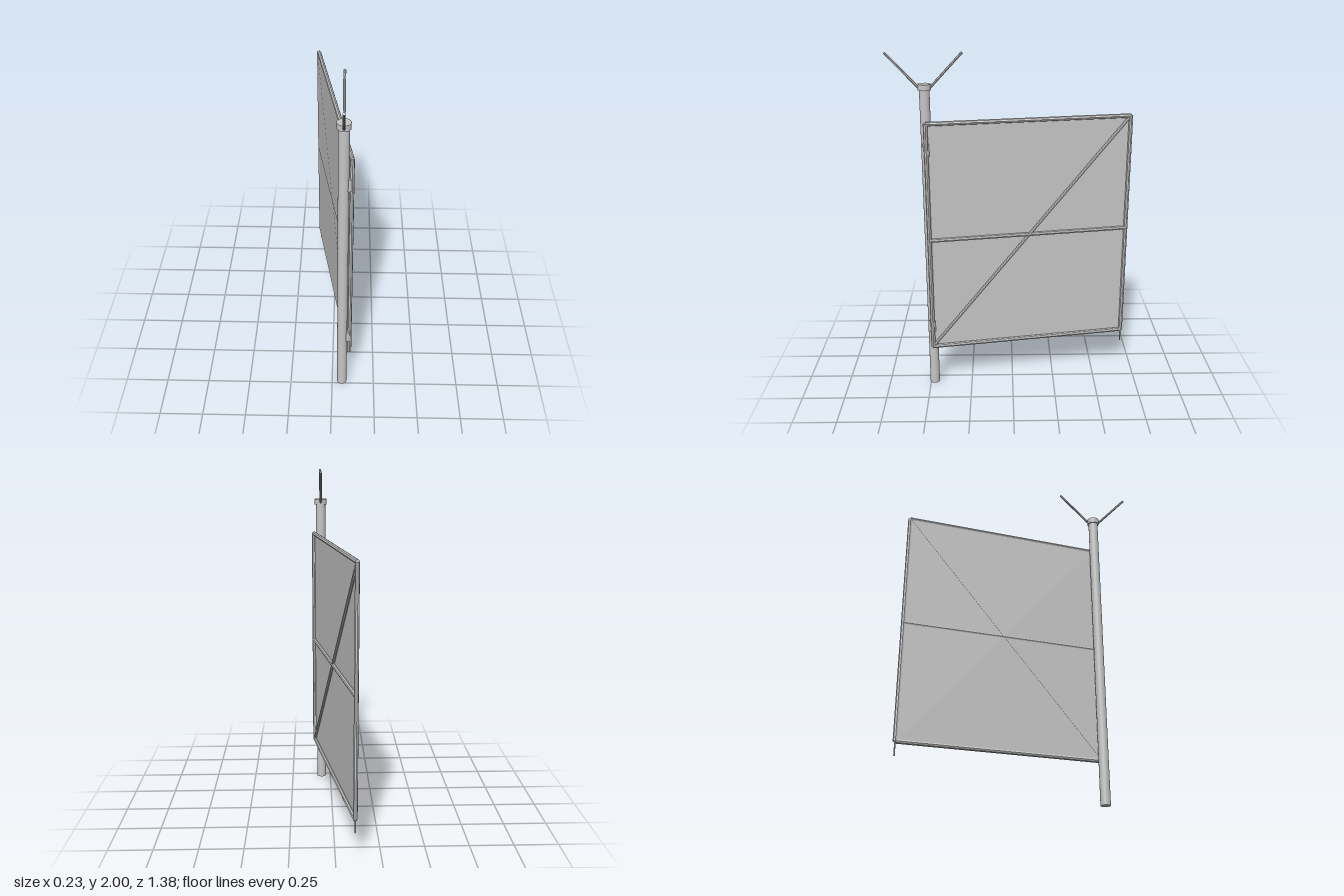
import * as THREE from 'three';

export function createModel() {
  const model = new THREE.Group();
  const steel = new THREE.MeshStandardMaterial({ color: 0xc5c5c5 });
  steel.name = 'galvanised steel';

  const add = (parent, name, geometry) => {
    const mesh = new THREE.Mesh(geometry, steel);
    mesh.name = name;
    parent.add(mesh);
    return mesh;
  };

  // Bar between two points: smooth when round, faceted when it has eight sides or fewer
  const bar = (parent, name, from, to, radius, sides = 8) => {
    const a = new THREE.Vector3(...from), b = new THREE.Vector3(...to);
    const dir = b.clone().sub(a);
    let geometry = new THREE.CylinderGeometry(radius, radius, dir.length(), sides);
    if (sides <= 8) {
      geometry = geometry.toNonIndexed();
      geometry.computeVertexNormals();
    }
    const mesh = add(parent, name, geometry);
    mesh.position.copy(a).add(b).multiplyScalar(0.5);
    mesh.quaternion.setFromUnitVectors(new THREE.Vector3(0, 1, 0), dir.normalize());
  };

  // Post with cap and V-shaped top arms
  const px = 0.058, pz = 0.477;
  bar(model, 'post', [px, 0, pz], [px, 1.81, pz], 0.0285, 24);
  bar(model, 'postCap', [px, 1.795, pz], [px, 1.828, pz], 0.036, 24);
  for (const side of [-1, 1]) {
    bar(model, side > 0 ? 'frontArm' : 'backArm',
      [px, 1.78, pz + side * 0.005], [px, 1.995, pz + side * 0.207], 0.007);
  }

  // Hinge barrels between post and gate
  for (const y of [0.392, 1.468]) {
    bar(model, 'hinge', [0.088, y - 0.0365, 0.476], [0.088, y + 0.0365, 0.476], 0.018, 12);
  }

  // Gate leaf: built along -z from the hinge line, swung open 10 degrees
  const gate = new THREE.Group();
  gate.name = 'gate';
  gate.position.set(0.1, 0, 0.476);
  gate.rotation.y = THREE.MathUtils.degToRad(10);
  model.add(gate);

  const length = 1.17, low = 0.26, high = 1.617, r = 0.0125;
  bar(gate, 'hingeStile', [0, low, 0], [0, high, 0], r);
  bar(gate, 'latchStile', [0, low, -length], [0, high, -length], r);
  bar(gate, 'bottomRail', [0, low, 0], [0, low, -length], r);
  bar(gate, 'topRail', [0, high, 0], [0, high, -length], r);
  bar(gate, 'middleRail', [0, 0.938, 0], [0, 0.938, -length], 0.0118);
  bar(gate, 'diagonalBrace', [0, low, 0], [0, high, -length], 0.0097);
  bar(gate, 'dropBolt', [0, 0.182, -length], [0, low, -length], 0.004);

  // Infill panel near the back face of the frame
  add(gate, 'infillPanel', new THREE.BoxGeometry(0.004, high - low, length))
    .position.set(-0.007, (low + high) / 2, -length / 2);

  return model;
}
